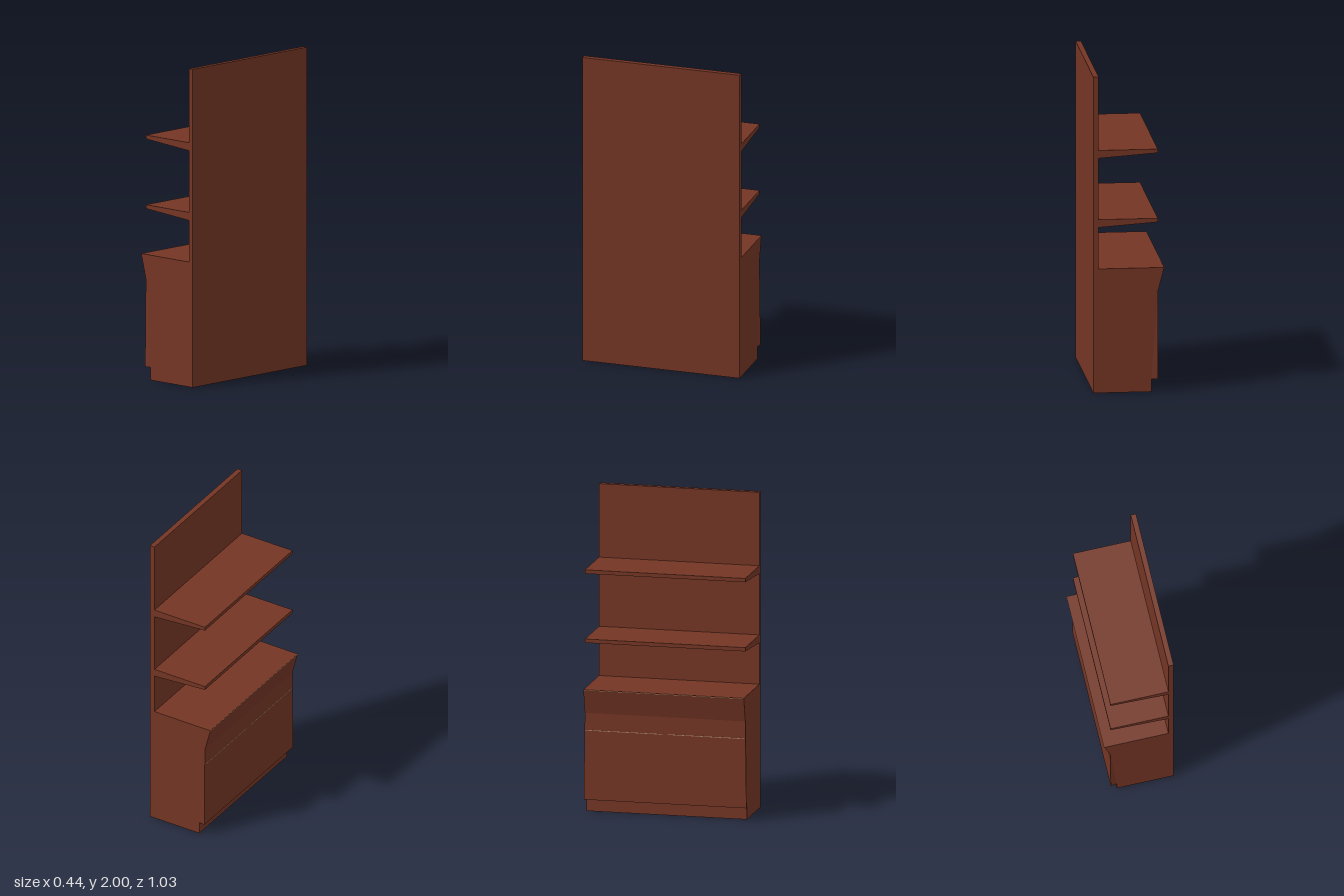
import * as THREE from 'three';

const HALF = 0.51; // half the length along z

export function createModel() {
  const group = new THREE.Group();
  group.name = 'shelvingUnit';

  const wood = new THREE.MeshStandardMaterial({ color: 0x743524, side: THREE.DoubleSide });
  wood.name = 'reddish brown wood';
  const trim = new THREE.MeshStandardMaterial({ color: 0xb08a68 });
  trim.name = 'tan trim';

  const add = (name, geometry, material, x = 0, y = 0, z = 0) => {
    const mesh = new THREE.Mesh(geometry, material);
    mesh.name = name;
    mesh.position.set(x, y, z);
    group.add(mesh);
    return mesh;
  };

  // Cabinet and back board: one hollow shell, open underneath
  const profile = [
    [0.22, 0], [0.22, 2], [0.187, 2], [0.187, 0.785], [-0.22, 0.785],
    [-0.18, 0.63], [-0.18, 0.08], [-0.14, 0.08], [-0.14, 0],
  ];
  const FLARED = 6; // the lower front corner stands out a little at both ends
  const corner = (i, side) => [...profile[i], side * (i === FLARED ? 0.517 : HALF)];
  const positions = [];
  const tri = (a, b, c) => positions.push(...a, ...b, ...c);
  for (let i = 0; i < profile.length - 1; i++) {
    tri(corner(i, 1), corner(i, -1), corner(i + 1, -1));
    tri(corner(i, 1), corner(i + 1, -1), corner(i + 1, 1));
  }
  const outline = profile.map(([x, y]) => new THREE.Vector2(x, y));
  for (const [a, b, c] of THREE.ShapeUtils.triangulateShape(outline, [])) {
    tri(corner(a, 1), corner(b, 1), corner(c, 1));
    tri(corner(a, -1), corner(c, -1), corner(b, -1));
  }
  const shell = new THREE.BufferGeometry();
  shell.setAttribute('position', new THREE.Float32BufferAttribute(positions, 3));
  shell.computeVertexNormals();
  add('cabinetAndBackBoard', shell, wood);

  // Shelves: wedges that thicken toward the back board
  const wedge = new THREE.Shape([
    new THREE.Vector2(-0.18, 0), new THREE.Vector2(-0.18, -0.024),
    new THREE.Vector2(0.187, -0.05), new THREE.Vector2(0.187, 0),
  ]);
  const shelf = new THREE.ExtrudeGeometry(wedge, { depth: 2 * HALF, bevelEnabled: false });
  add('lowerShelf', shelf, wood, 0, 1.097, -HALF);
  add('upperShelf', shelf, wood, 0, 1.535, -HALF);

  // Hairline trims along the counter edge and across the cabinet front
  add('counterTrim', new THREE.BoxGeometry(0.003, 0.003, 2 * HALF), trim, -0.2195, 0.782, 0);
  for (const side of [-1, 1]) {
    add(side > 0 ? 'leftFrontTrim' : 'rightFrontTrim',
      new THREE.BoxGeometry(0.003, 0.004, 0.49), trim, -0.18, 0.52, side * 0.26);
  }
  return group;
}
